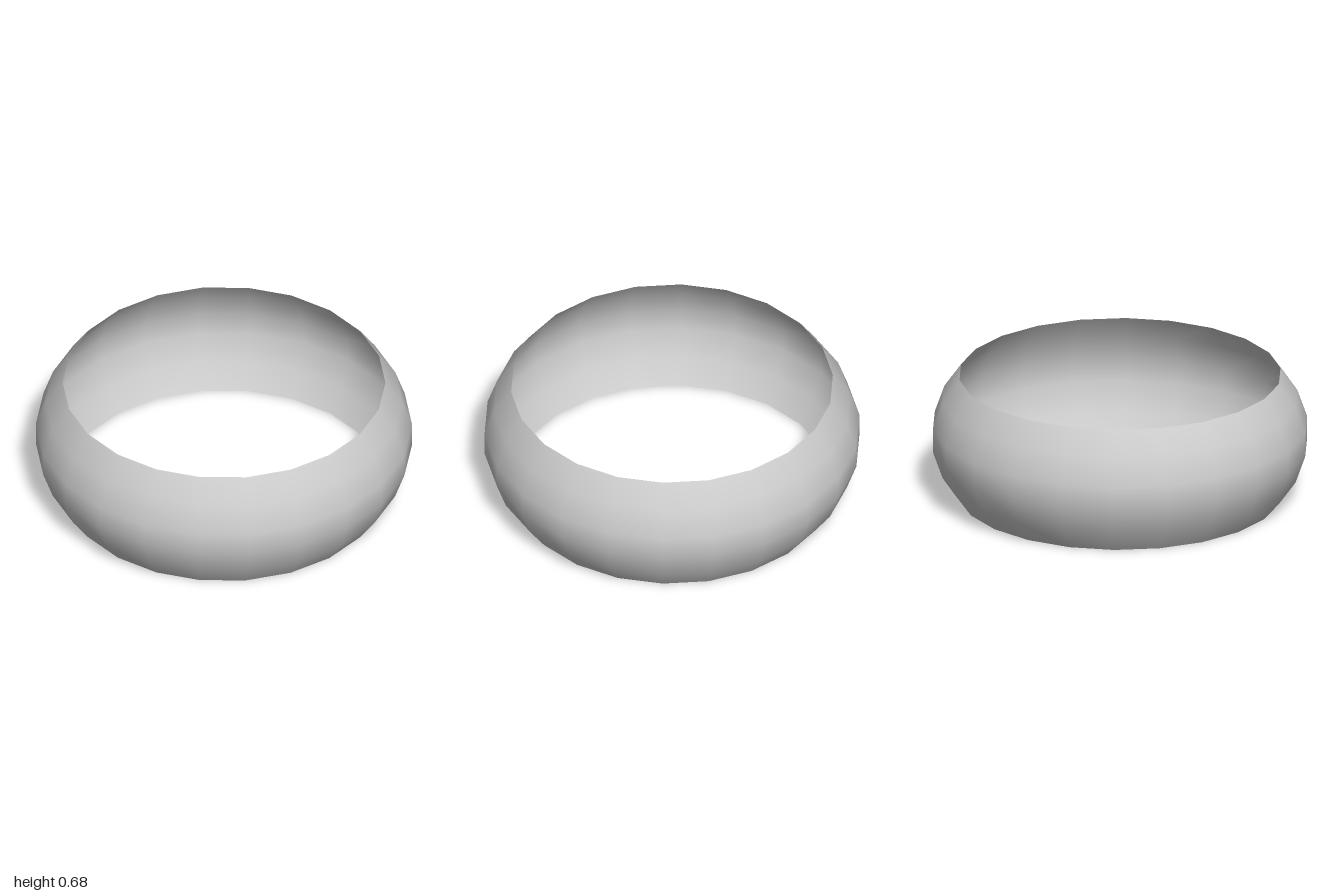
import * as THREE from 'three';

export function createModel() {
  const group = new THREE.Group();
  const material = new THREE.MeshStandardMaterial({ color: 0xcccccc, side: THREE.DoubleSide });

  // Bulging open band: upper half of the profile, mirrored about mid height
  const midHeight = 0.34;
  const half = [[1, 0.064], [0.948, 0.213], [0.858, 0.34]];
  const profile = [
    ...half.map(([r, h]) => new THREE.Vector2(r, midHeight - h)).reverse(),
    ...half.map(([r, h]) => new THREE.Vector2(r, midHeight + h)),
  ];

  // 22 sides, with corners on the x axis
  const band = new THREE.Mesh(new THREE.LatheGeometry(profile, 22, Math.PI / 2), material);
  band.name = 'ringBand';
  group.add(band);
  return group;
}
